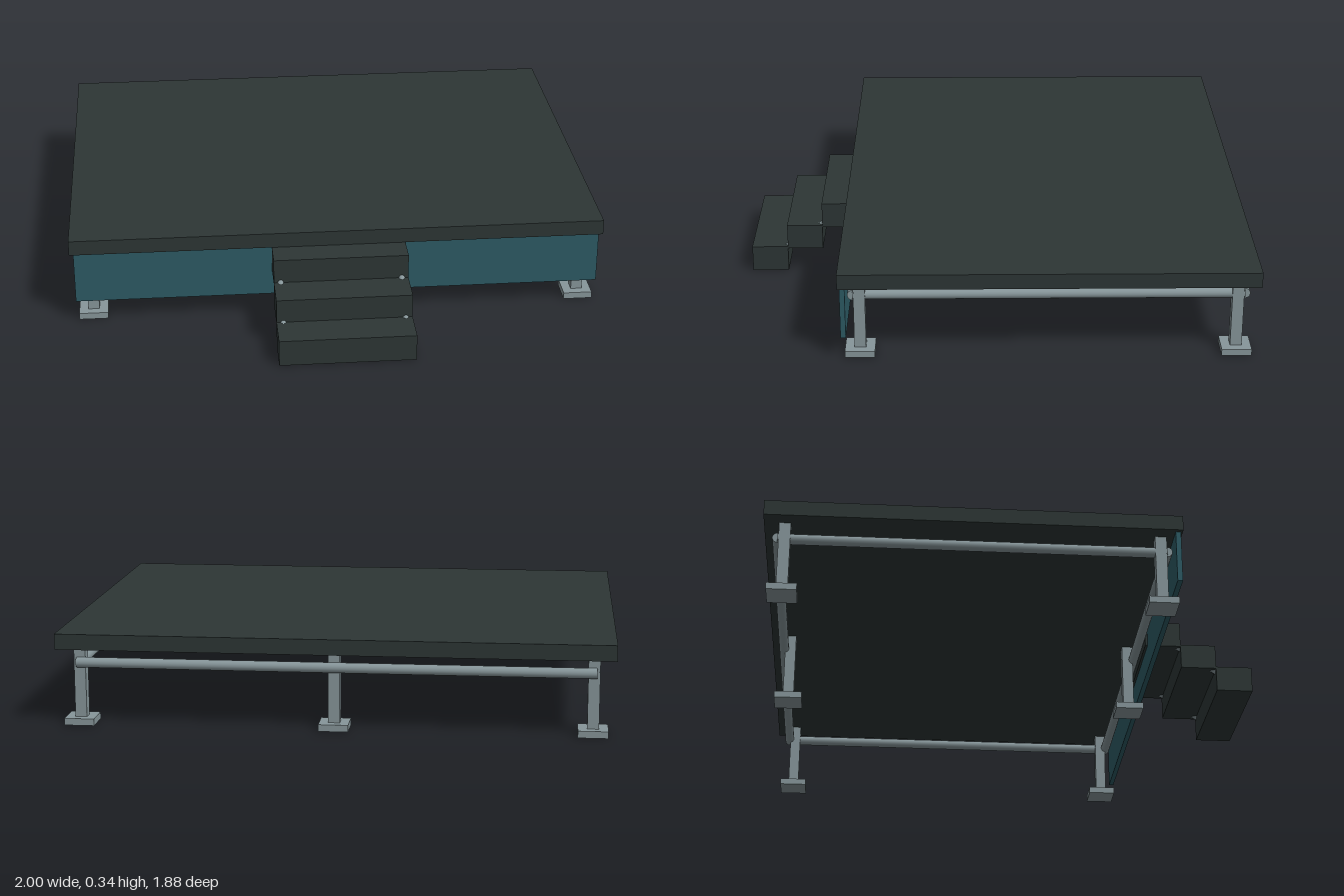
import * as THREE from 'three';

export function createModel() {
  const stage = new THREE.Group();
  stage.name = 'stagePlatform';

  const deckPaint = new THREE.MeshStandardMaterial({ name: 'charcoalDeck', color: 0x2d3635 });
  const metal = new THREE.MeshStandardMaterial({ name: 'greyMetal', color: 0x87969a });
  const cloth = new THREE.MeshStandardMaterial({ name: 'tealSkirt', color: 0x2d5a64 });

  // Box given by its lowest and highest corners
  function box(name, material, [x0, y0, z0], [x1, y1, z1]) {
    const mesh = new THREE.Mesh(new THREE.BoxGeometry(x1 - x0, y1 - y0, z1 - z0), material);
    mesh.position.set((x0 + x1) / 2, (y0 + y1) / 2, (z0 + z1) / 2);
    mesh.name = name;
    stage.add(mesh);
  }

  // Round bar between two points
  function bar(name, from, to, radius) {
    const a = new THREE.Vector3(...from);
    const b = new THREE.Vector3(...to);
    const dir = b.clone().sub(a);
    const mesh = new THREE.Mesh(new THREE.CylinderGeometry(radius, radius, dir.length(), 16), metal);
    mesh.position.copy(a).add(b).multiplyScalar(0.5);
    mesh.quaternion.setFromUnitVectors(new THREE.Vector3(0, 1, 0), dir.normalize());
    mesh.name = name;
    stage.add(mesh);
  }

  // Deck and front skirt
  box('deck', deckPaint, [-1, 0.283, -0.94], [1, 0.34, 0.56]);
  box('frontSkirt', cloth, [-0.985, 0.085, 0.534], [0.985, 0.283, 0.553]);

  // Six square legs on foot plates
  const legX = 0.922, frontZ = 0.486, backZ = -0.865;
  for (const z of [frontZ, backZ]) {
    for (const x of [-legX, 0, legX]) {
      box('leg', metal, [x - 0.021, 0.025, z - 0.021], [x + 0.021, 0.283, z + 0.021]);
      box('footPlate', metal, [x - 0.054, 0, z - 0.054], [x + 0.054, 0.025, z + 0.054]);
    }
  }

  // Rails around the frame, the long ones on the outer faces of the legs
  const railY = 0.228, railRadius = 0.019;
  for (const z of [0.51, -0.89]) {
    bar('longRail', [-legX - 0.01, railY, z], [legX + 0.01, railY, z], railRadius);
  }
  for (const x of [-legX, legX]) {
    bar('sideRail', [x, railY, 0.51], [x, railY, -0.89], railRadius);
  }

  // Three solid steps joined by slanting bars
  const steps = [[0, 0.1, 0.801, 0.94], [0.093, 0.19, 0.664, 0.801], [0.183, 0.282, 0.525, 0.664]];
  for (const [y0, y1, z0, z1] of steps) {
    box('step', deckPaint, [-0.25, y0, z0], [0.25, y1, z1]);
  }
  for (const x of [-0.225, 0.225]) {
    bar('stepStringer', [x, 0.05, 0.865], [x, 0.23, 0.6], 0.012);
  }

  return stage;
}
